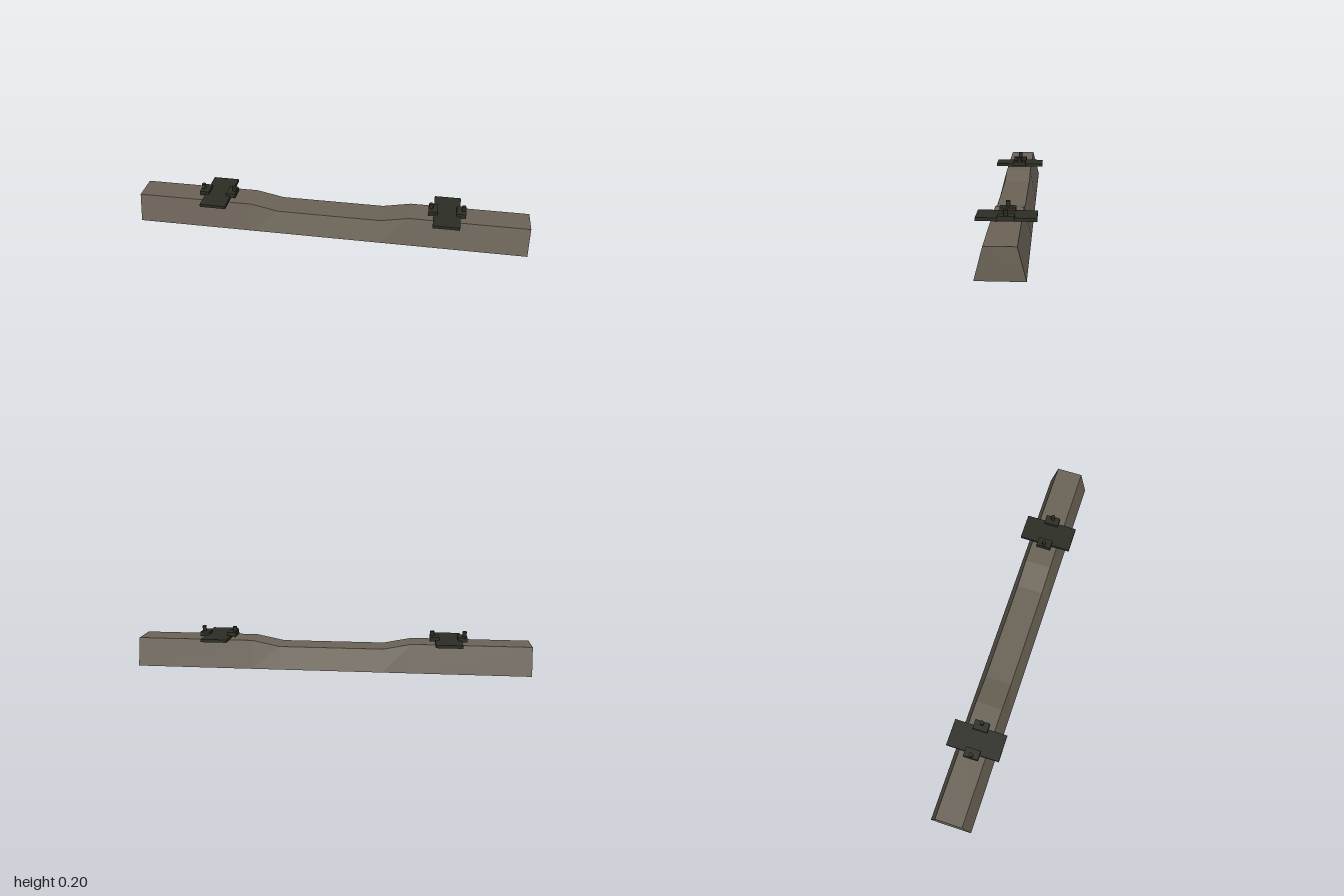
import * as THREE from 'three';

const concrete = new THREE.MeshStandardMaterial({ color: 0x6b6357 });
concrete.name = 'concrete';
const metal = new THREE.MeshStandardMaterial({ color: 0x2c2d24 });
metal.name = 'dark metal';

// Trapezoid cross-sections lofted along x; the middle of the beam is lower.
function beamGeometry() {
  const stations = [[-1, 0.141], [-0.405, 0.141], [-0.262, 0.112], [0.262, 0.112], [0.405, 0.141], [1, 0.141]];
  const rings = stations.map(([x, h]) => [[x, 0, 0.103], [x, h, 0.067], [x, h, -0.067], [x, 0, -0.103]]);
  const pos = [];
  const quad = (a, b, c, d) => pos.push(...a, ...b, ...c, ...a, ...c, ...d);
  for (let i = 0; i < rings.length - 1; i++) {
    const p = rings[i], q = rings[i + 1];
    for (let k = 0; k < 4; k++) {
      const n = (k + 1) % 4;
      quad(p[k], q[k], q[n], p[n]);
    }
  }
  const first = rings[0], last = rings[rings.length - 1];
  quad(first[0], first[1], first[2], first[3]);
  quad(last[3], last[2], last[1], last[0]);
  const geo = new THREE.BufferGeometry();
  geo.setAttribute('position', new THREE.Float32BufferAttribute(pos, 3));
  geo.computeVertexNormals();
  return geo;
}

function part(name, geometry, material, x, y, z) {
  const mesh = new THREE.Mesh(geometry, material);
  mesh.name = name;
  mesh.position.set(x, y, z);
  return mesh;
}

// Rail seat: wide plate with a clip and a bolt on either side
function railSeat(name, x) {
  const seat = new THREE.Group();
  seat.name = name;
  seat.position.x = x;
  seat.add(part('basePlate', new THREE.BoxGeometry(0.133, 0.015, 0.267), metal, 0, 0.1495, 0));
  for (const s of [-1, 1]) {
    seat.add(part('clip', new THREE.BoxGeometry(0.047, 0.022, 0.074), metal, s * 0.07, 0.161, 0));
    seat.add(part('bolt', new THREE.CylinderGeometry(0.0105, 0.0105, 0.04, 8), metal, s * 0.081, 0.177, 0));
  }
  return seat;
}

export function createModel() {
  const model = new THREE.Group();
  model.name = 'railwaySleeper';
  model.add(part('beam', beamGeometry(), concrete, 0, 0, 0));
  model.add(railSeat('rightRailSeat', -0.59), railSeat('leftRailSeat', 0.59));
  return model;
}
